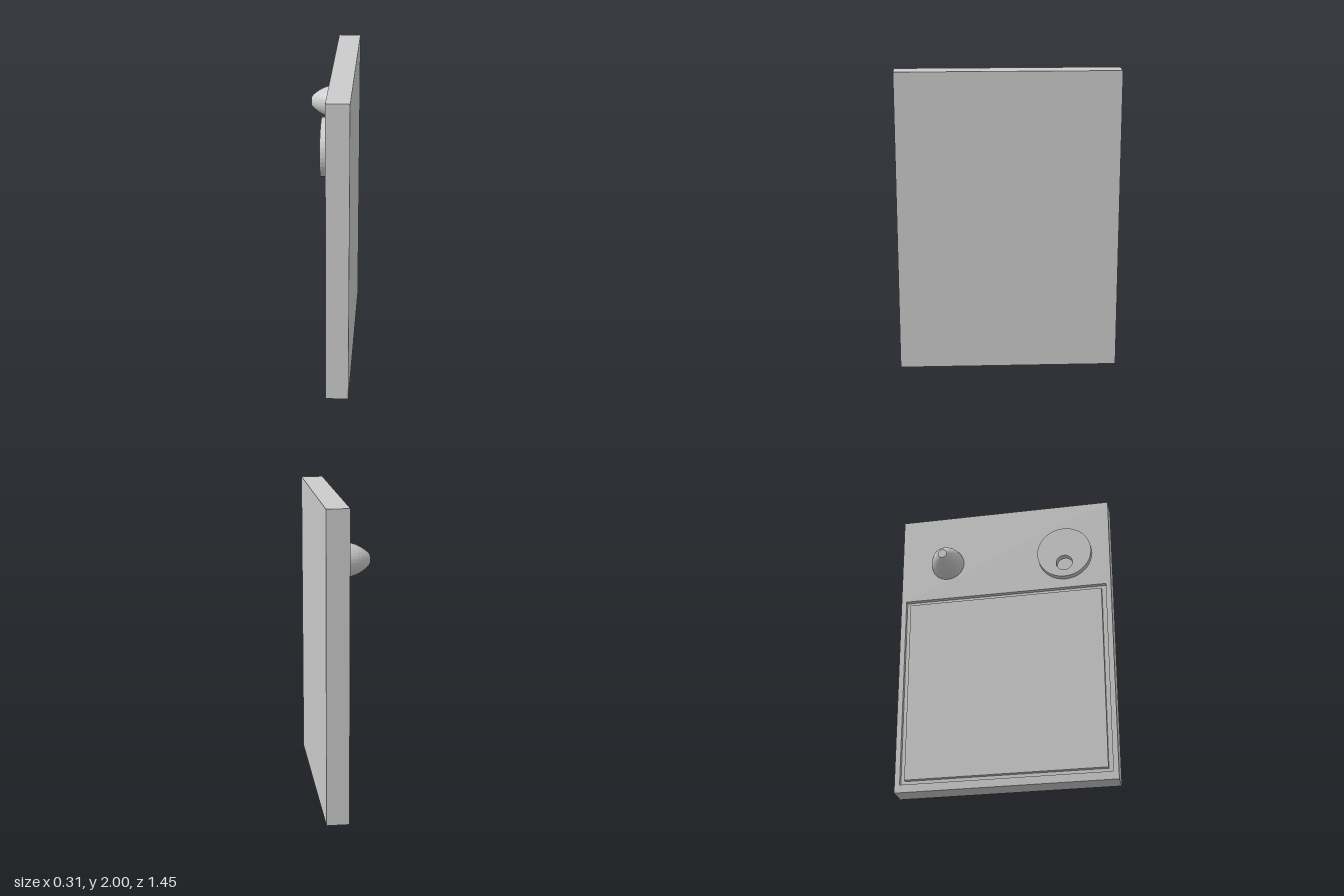
import * as THREE from 'three';

const material = new THREE.MeshStandardMaterial({ color: 0xcccccc, flatShading: true });
const FACE = 0.01; // x of the panel's working face, which looks toward -x

function addMesh(group, name, geometry) {
  const mesh = new THREE.Mesh(geometry, material);
  mesh.name = name;
  group.add(mesh);
  return mesh;
}

// Rectangular rings [x, half width in z, bottom y, top y] joined in sequence and capped
function loftRectangles(rings) {
  const corners = rings.map(([x, w, lo, hi]) => [[x, lo, -w], [x, lo, w], [x, hi, w], [x, hi, -w]]);
  const positions = [];
  const quad = (a, b, c, d) => positions.push(...a, ...b, ...c, ...a, ...c, ...d);
  const first = corners[0];
  const last = corners[corners.length - 1];
  quad(first[3], first[2], first[1], first[0]);
  for (let i = 0; i < corners.length - 1; i++) {
    for (let k = 0; k < 4; k++) {
      const n = (k + 1) % 4;
      quad(corners[i][k], corners[i][n], corners[i + 1][n], corners[i + 1][k]);
    }
  }
  quad(...last);
  const geometry = new THREE.BufferGeometry();
  geometry.setAttribute('position', new THREE.Float32BufferAttribute(positions, 3));
  geometry.computeVertexNormals();
  return geometry;
}

export function createModel() {
  const model = new THREE.Group();
  model.name = 'controlPanel';

  // Slab with a narrow rectangular groove around the lower field
  const floor = FACE + 0.03;
  const outer = [0.69, 0.053, 1.37];
  const inner = [0.66, 0.083, 1.34];
  addMesh(model, 'groovedPanel', loftRectangles([
    [0.155, 0.725, 0, 2],
    [FACE, 0.725, 0, 2],
    [FACE, ...outer],
    [floor, ...outer],
    [floor, ...inner],
    [FACE, ...inner],
  ]));

  // Round dial with an off-centre finger hole
  const dialShape = new THREE.Shape().absarc(0, 0, 0.184, 0, Math.PI * 2);
  dialShape.holes.push(new THREE.Path().absarc(0, -0.08, 0.055, 0, Math.PI * 2, true));
  const dial = addMesh(model, 'dial', new THREE.ExtrudeGeometry(dialShape, {
    depth: 0.043, bevelEnabled: false, curveSegments: 18,
  }));
  dial.rotation.y = -Math.PI / 2;
  dial.position.set(FACE, 1.617, 0.42);

  // Domed knob with a small flat tip
  const profile = [
    [0.113, 0], [0.110, 0.025], [0.104, 0.05], [0.094, 0.08],
    [0.080, 0.108], [0.062, 0.135], [0.043, 0.157], [0.030, 0.167], [0, 0.167],
  ].map(([r, h]) => new THREE.Vector2(r, h));
  const knob = addMesh(model, 'knob', new THREE.LatheGeometry(profile, 32));
  knob.rotation.z = Math.PI / 2;
  knob.position.set(FACE, 1.63, -0.4);

  return model;
}
